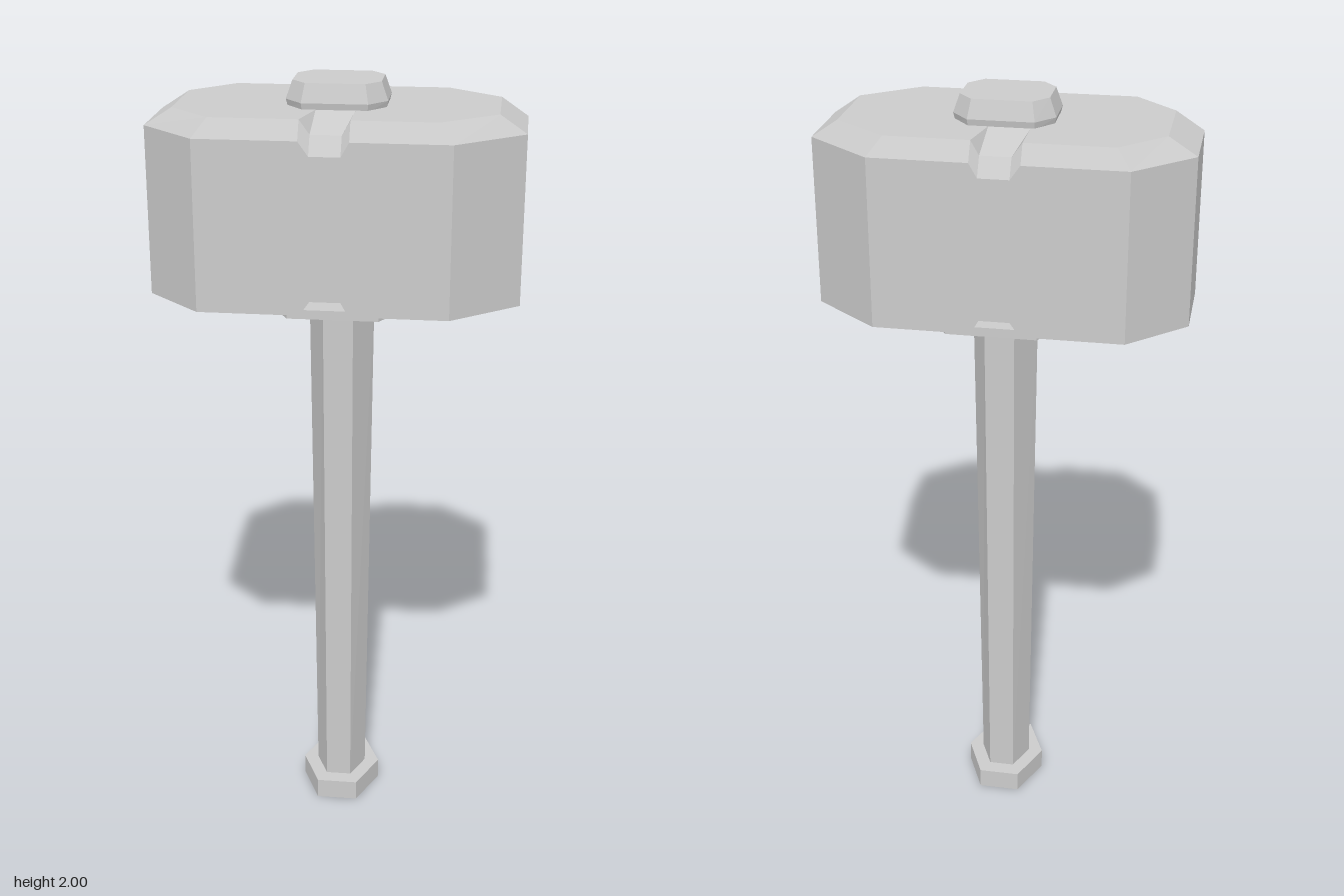
import * as THREE from 'three';

const material = new THREE.MeshStandardMaterial({ color: 0xcccccc, flatShading: true });

// Ring from its front half, [x, y, z] left to right, mirrored to the back
function ring(front) {
  const back = front.filter((p) => p[2] > 0).reverse().map(([x, y, z]) => [x, y, -z]);
  return [...front, ...back];
}

// Skin stacked rings, bottom to top, and close both ends
function loft(name, rings) {
  const pos = [];
  const tri = (...pts) => pts.forEach((p) => pos.push(...p));
  const n = rings[0].length;
  const centre = (r) => [0, 1, 2].map((k) => r.reduce((s, p) => s + p[k], 0) / n);
  const first = rings[0];
  const last = rings[rings.length - 1];
  const c0 = centre(first);
  const c1 = centre(last);
  for (let j = 0; j < n; j++) {
    const k = (j + 1) % n;
    tri(c0, first[k], first[j]);
    for (let i = 0; i < rings.length - 1; i++) {
      const [lo, hi] = [rings[i], rings[i + 1]];
      tri(lo[j], lo[k], hi[k]);
      tri(lo[j], hi[k], hi[j]);
    }
    tri(c1, last[j], last[k]);
  }
  const geometry = new THREE.BufferGeometry();
  geometry.setAttribute('position', new THREE.Float32BufferAttribute(pos, 3));
  geometry.computeVertexNormals();
  const mesh = new THREE.Mesh(geometry, material);
  mesh.name = name;
  return mesh;
}

// Six-sided ring with points at the sides and a flat front
const hexRing = (y, halfX, flatX, z, cx = 0.007) =>
  ring([[cx - halfX, y, 0], [cx - flatX, y, z], [cx + flatX, y, z], [cx + halfX, y, 0]]);

// Eight-sided ring with cut corners
const octRing = (y, endX, flatX, endZ, z) =>
  ring([[-endX, y, endZ], [-flatX, y, z], [flatX, y, z], [endX, y, endZ]]);

// Head ring; the middle of its front and back edges is notched by dy
const headRing = (y, dy, left, cutL, cutR, right, endZ, z) =>
  ring([
    [left, y, endZ], [cutL, y, z],
    [-0.07, y, z], [-0.045, y + dy, z], [0.03, y + dy, z], [0.05, y, z],
    [cutR, y, z], [right, y, endZ],
  ]);

export function createModel() {
  const group = new THREE.Group();
  group.name = 'hammer';

  // Head: notches ramp out towards the centre above and below
  group.add(loft('head', [
    headRing(1.475, 0, -0.13, -0.1, 0.1, 0.13, 0.05, 0.1),
    headRing(1.475, 0.035, -0.46, -0.32, 0.29, 0.456, 0.107, 0.242),
    headRing(1.895, -0.035, -0.46, -0.32, 0.29, 0.456, 0.107, 0.242),
    headRing(1.94, -0.035, -0.39, -0.285, 0.255, 0.39, 0.107, 0.214),
    headRing(1.94, 0, -0.12, -0.09, 0.09, 0.12, 0.05, 0.1),
  ]));

  // Cap on top of the head
  group.add(loft('cap', [
    octRing(1.935, 0.118, 0.078, 0.05, 0.1),
    octRing(1.955, 0.123, 0.08, 0.052, 0.104),
    octRing(2.0, 0.107, 0.072, 0.048, 0.09),
  ]));

  // Plate under the head
  group.add(loft('collarPlate', [
    hexRing(1.455, 0.228, 0.112, 0.208),
    hexRing(1.478, 0.228, 0.112, 0.208),
  ]));

  // Tapered handle
  group.add(loft('handle', [
    hexRing(0.04, 0.067, 0.033, 0.077),
    hexRing(1.47, 0.083, 0.038, 0.092),
  ]));

  // Foot of the handle
  group.add(loft('pommel', [
    hexRing(0, 0.106, 0.054, 0.118),
    hexRing(0.055, 0.106, 0.054, 0.118),
  ]));

  return group;
}
